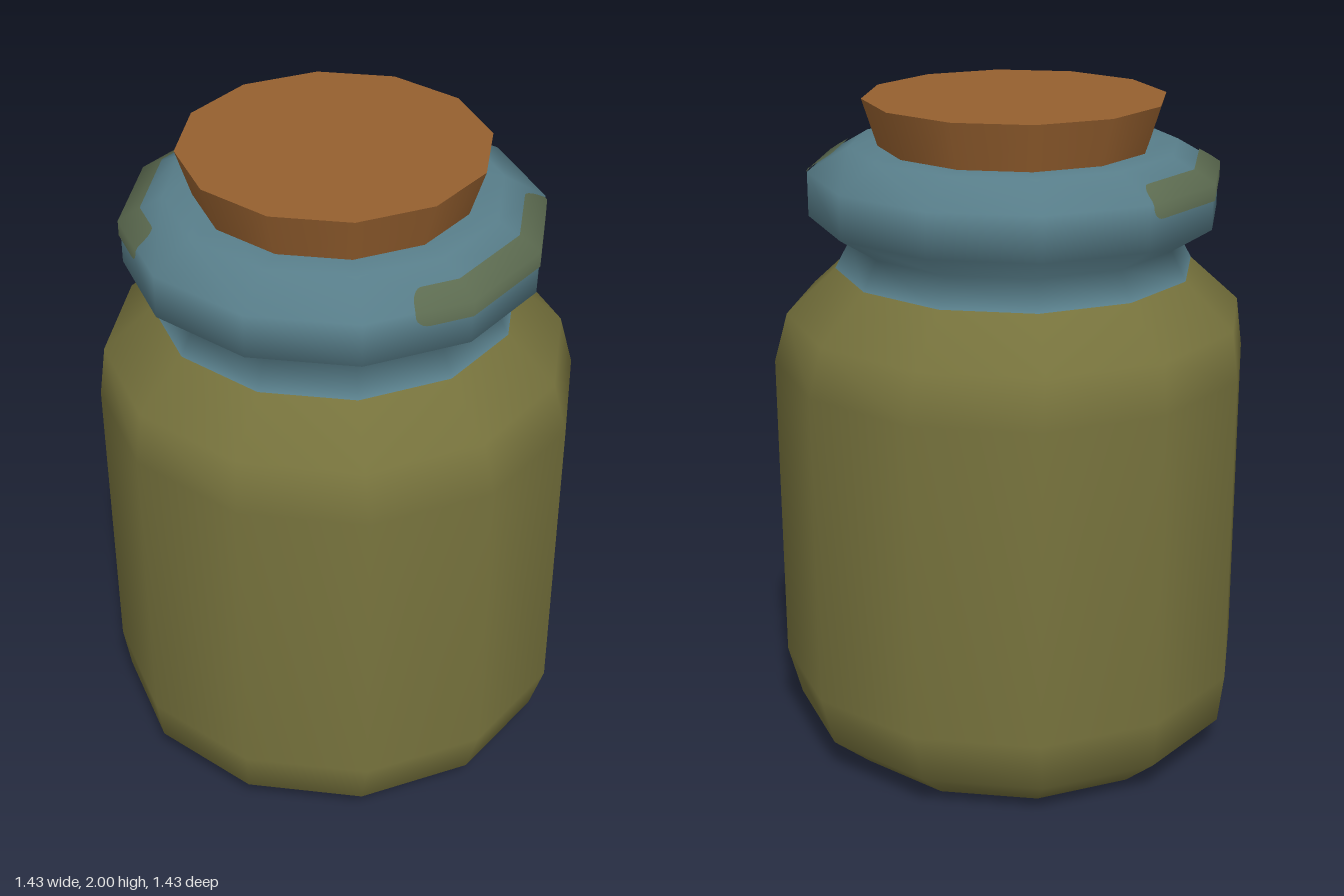
import * as THREE from 'three';

const SIDES = 12;
const STEP = (Math.PI * 2) / SIDES;
const OFF_X = -0.004, OFF_Z = -0.013; // the neck and base sit slightly off centre

const material = (name, color) => {
  const m = new THREE.MeshStandardMaterial({ color });
  m.name = name;
  return m;
};

// Radius of a twelve-sided ring at a given angle (corner at angle 0)
const ringRadius = (r, a) => {
  const local = ((a % STEP) + STEP) % STEP;
  return (r * Math.cos(STEP / 2)) / Math.cos(local - STEP / 2);
};

// Thin rounded stripe wrapped over the upper edge of the lip
function lipStripe(startDeg, endDeg, mat) {
  const start = THREE.MathUtils.degToRad(startDeg), end = THREE.MathUtils.degToRad(endDeg);
  const mid = 1.785, half = 0.041, capAngle = 0.075, edge = 1.79, rows = 5;
  const angles = [];
  for (let i = 0; i <= 6; i++) {
    const t = capAngle * (1 - Math.cos((i / 6) * Math.PI / 2));
    angles.push(start + t, end - t);
  }
  for (let k = Math.ceil(start / STEP); k * STEP < end; k++) angles.push(k * STEP);
  angles.sort((a, b) => a - b);

  const pos = [], nor = [], index = [];
  angles.forEach((a, c) => {
    const d = Math.max(0, 1 - Math.min(a - start, end - a) / capAngle);
    const h = half * Math.sqrt(Math.max(0, 1 - d * d));
    const lo = mid - h, hi = mid + h, bend = THREE.MathUtils.clamp(edge, lo, hi);
    const ys = [lo, (lo + bend) / 2, bend, (bend + hi) / 2, hi];
    ys.forEach((y, j) => {
      const r = (y <= edge ? 0.61 : 0.61 - (y - edge) * (0.125 / 0.07)) + 0.004;
      const rr = ringRadius(r, a);
      pos.push(rr * Math.sin(a) + OFF_X, y + (y > edge ? 0.004 : 0.001), rr * Math.cos(a) + OFF_Z);
      const ny = y <= edge ? 0.5 - (edge - y) * 7.4 : 0.5 + (y - edge) * 6.5;
      const n = Math.sqrt(1 - ny * ny);
      nor.push(n * Math.sin(a), ny, n * Math.cos(a));
      if (c < angles.length - 1 && j < rows - 1) {
        const p = c * rows + j, q = p + rows;
        index.push(p, q, p + 1, q, q + 1, p + 1);
      }
    });
  });
  const geo = new THREE.BufferGeometry();
  geo.setAttribute('position', new THREE.Float32BufferAttribute(pos, 3));
  geo.setAttribute('normal', new THREE.Float32BufferAttribute(nor, 3));
  geo.setIndex(index);
  const mesh = new THREE.Mesh(geo, mat);
  mesh.name = 'lipStripe';
  return mesh;
}

export function createModel() {
  const olive = material('olive', 0x77733d);
  const blue = material('slateBlue', 0x587e8a);
  const cork = material('cork', 0x96602f);
  const mossy = material('mossGreen', 0x5d6c51);

  const group = new THREE.Group();
  group.name = 'corkedJar';

  // Jar: one smooth turned profile, olive below the neck and blue above
  const profile = [
    [0, 0], [0.563, 0], [0.683, 0.105], [0.714, 0.255], [0.714, 1.215],
    [0.683, 1.365], [0.535, 1.5], [0.49, 1.585], [0.608, 1.66],
    [0.608, 1.79], [0.485, 1.862], [0.38, 1.862],
  ].map(([x, y]) => new THREE.Vector2(x, y));
  const jarGeo = new THREE.LatheGeometry(profile, SIDES);
  const p = jarGeo.attributes.position;
  for (let i = 0; i < p.count; i++) {
    const y = p.getY(i);
    if (y > 0.2 && y < 1.3) continue;
    p.setX(i, p.getX(i) + OFF_X);
    p.setZ(i, p.getZ(i) + OFF_Z);
  }
  const bands = profile.length - 1, bodyBands = 6;
  for (let s = 0; s < SIDES; s++) {
    jarGeo.addGroup(s * bands * 6, bodyBands * 6, 0);
    jarGeo.addGroup((s * bands + bodyBands) * 6, (bands - bodyBands) * 6, 1);
  }
  const jar = new THREE.Mesh(jarGeo, [olive, blue]);
  jar.name = 'jar';
  group.add(jar);

  // Stripes on the front and back of the lip
  group.add(lipStripe(-16, 58, mossy), lipStripe(181, 256, mossy));

  // Tapered stopper
  const stopper = new THREE.Mesh(new THREE.CylinderGeometry(0.446, 0.385, 0.19, SIDES), cork);
  stopper.name = 'stopper';
  stopper.position.set(OFF_X, 1.905, OFF_Z);
  group.add(stopper);

  return group;
}
